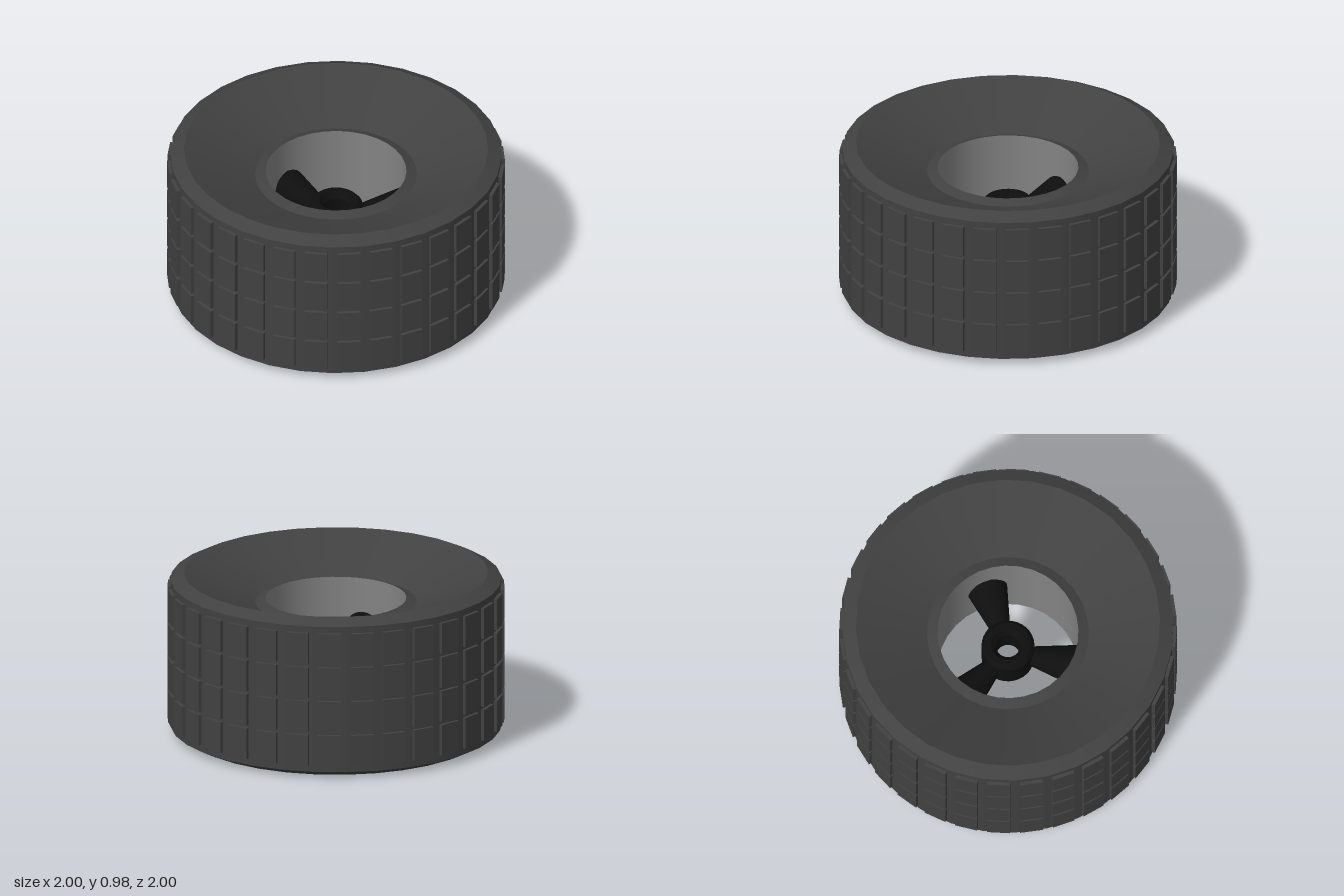
import * as THREE from 'three';
import { mergeGeometries } from 'three/addons/utils/BufferGeometryUtils.js';

const HEIGHT = 0.98, MID = HEIGHT / 2, SIDES = 32;

// Revolves each profile edge on its own, so rings stay sharp between edges and smooth around
function revolve(points, segments = SIDES) {
  const bands = [];
  for (let i = 0; i < points.length - 1; i++) {
    const pair = [points[i], points[i + 1]].map(([r, y]) => new THREE.Vector2(r, y));
    bands.push(new THREE.LatheGeometry(pair, segments));
  }
  return mergeGeometries(bands);
}

export function createModel() {
  const rubber = new THREE.MeshStandardMaterial({ name: 'dark grey rubber', color: 0x414141 });
  const rimGrey = new THREE.MeshStandardMaterial({ name: 'mid grey rim', color: 0x838383 });
  const black = new THREE.MeshStandardMaterial({ name: 'black hub', color: 0x0e0e0e });

  const model = new THREE.Group();
  model.name = 'wheel';
  const add = (name, geometry, material, parent = model) => {
    const mesh = new THREE.Mesh(geometry, material);
    mesh.name = name;
    parent.add(mesh);
    return mesh;
  };

  // Tyre: raised inner lip, dished side, chamfer and tread wall, mirrored top to bottom
  const lower = [[0.418, 0.158], [0.48, 0.182], [0.902, 0], [0.982, 0.04]];
  const upper = lower.map(([r, y]) => [r, HEIGHT - y]).reverse();
  add('tyre', revolve([...lower, ...upper]), rubber);

  // Rim: inner wall of the centre opening
  add('rim', revolve([[0.418, HEIGHT - 0.158], [0.418, 0.158]]), rimGrey);

  // Tread: four rows of blocks centred on the flat faces of the tyre
  const tread = new THREE.Group();
  tread.name = 'tread';
  model.add(tread);
  const blockGeometry = new THREE.BoxGeometry(0.136, 0.19, 0.04);
  for (let row = 0; row < 4; row++) {
    for (let i = 0; i < SIDES; i++) {
      const angle = ((i + 0.5) / SIDES) * Math.PI * 2;
      const block = add('treadBlock', blockGeometry, rubber, tread);
      block.position.set(Math.sin(angle) * 0.978, MID + (row - 1.5) * 0.21, Math.cos(angle) * 0.978);
      block.rotation.y = angle;
    }
  }

  // Hub: bored ring with flared mouths and chamfered outer edges
  const hubLower = [[0.07, MID - 0.085], [0.1, MID - 0.12], [0.135, MID - 0.12], [0.157, MID - 0.095]];
  const hubUpper = hubLower.map(([r, y]) => [r, HEIGHT - y]).reverse();
  add('hub', revolve([...hubLower, ...hubUpper, hubLower[0]]), black);

  // Spokes: three round cones widening from the hub to the rim
  const spokeGeometry = new THREE.CylinderGeometry(0.13, 0.055, 0.31, SIDES);
  spokeGeometry.rotateZ(-Math.PI / 2).translate(0.285, 0, 0);
  for (let i = 0; i < 3; i++) {
    const spoke = add('spoke', spokeGeometry, black);
    spoke.position.y = MID;
    spoke.rotation.y = Math.PI + (i * Math.PI * 2) / 3;
  }

  return model;
}
